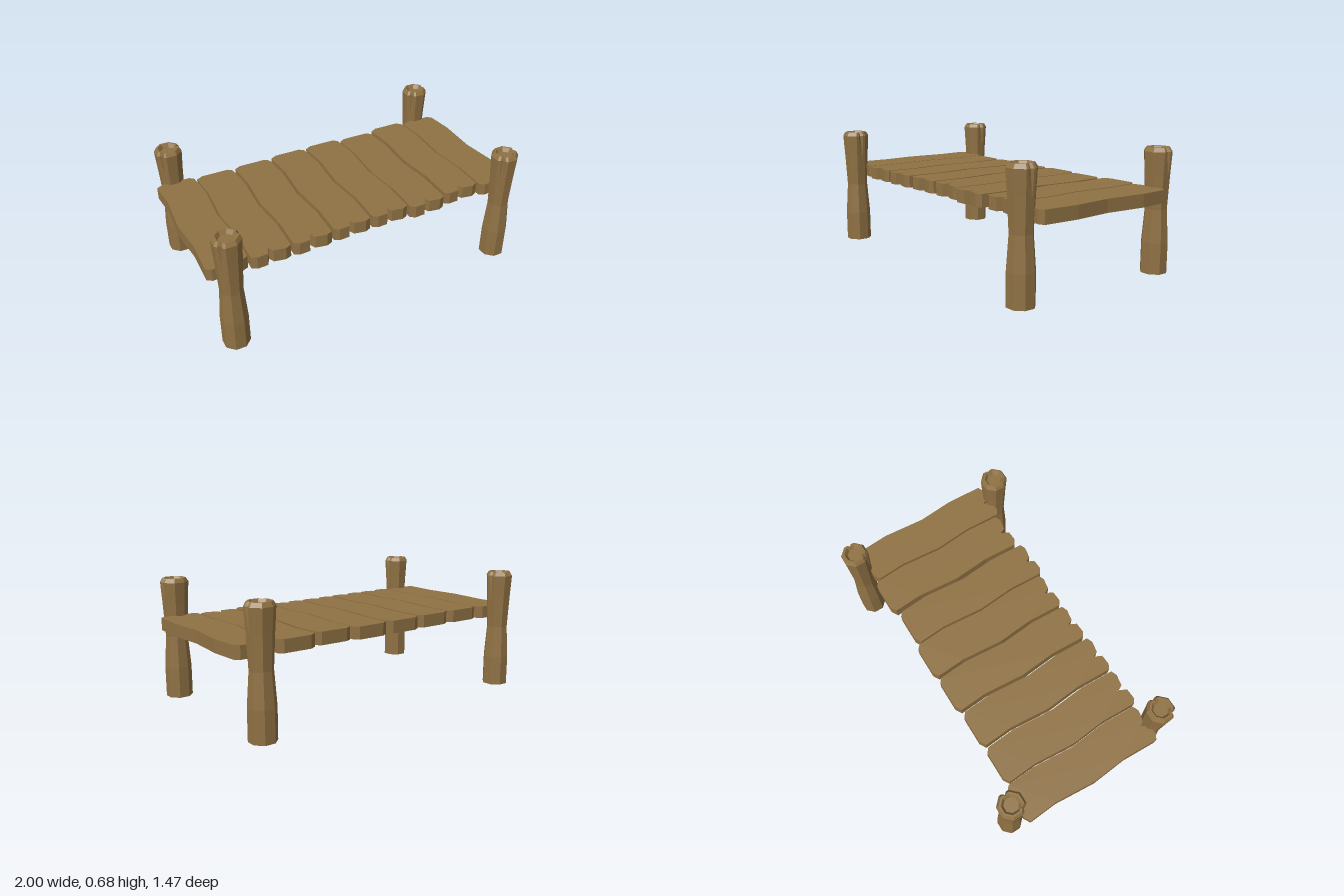
import * as THREE from 'three';

const wood = new THREE.MeshStandardMaterial({ color: 0x907244 });
wood.name = 'wood';

// Octagonal post with a waist, a hollowed top and two wedge-shaped cracks
function postGeometry() {
  const profile = [
    [0, 0], [0.073, 0], [0.073, 0.17], [0.06, 0.35], [0.069, 0.53], [0.077, 0.655],
    [0.064, 0.677], [0.053, 0.677], [0.04, 0.655], [0, 0.655],
  ].map(([r, y]) => new THREE.Vector2(r, y));
  const side = Math.PI / 4;
  const phase = THREE.MathUtils.degToRad(15); // middle of the first flat side
  const lathe = new THREE.LatheGeometry(profile, 32, phase);
  const pos = lathe.attributes.position;
  const rings = profile.length;
  for (let i = 0; i < pos.count; i++) {
    const segment = Math.floor(i / rings) % 32;
    const ring = i % rings;
    // Flatten the circle to eight sides
    const turn = (segment * Math.PI) / 16;
    const local = turn - Math.round(turn / side) * side;
    let k = Math.cos(side / 2) / Math.cos(local);
    // Cracks in the middle of two sides, opening towards the top
    if ((segment === 8 || segment === 28) && (ring === 5 || ring === 6)) k *= 0.84;
    pos.setX(i, pos.getX(i) * k);
    pos.setZ(i, pos.getZ(i) * k);
  }
  const geometry = lathe.toNonIndexed();
  geometry.computeVertexNormals();
  return geometry;
}

// Wavy plank with clipped corners and a split in its front end
function plankGeometry() {
  const edge = [[0, 0], [0.053, 0.155], [0.096, 0.39], [0.166, 0.583], [0.209, 0.778]];
  const acrossX = 0.211, acrossZ = -0.056;
  const outline = [
    ...edge,
    [0.24, 0.788], [0.296, 0.77], [0.305, 0.722], [0.328, 0.749], [0.392, 0.744],
    ...edge.map(([x, z]) => [x + acrossX, z + acrossZ]).reverse(),
    [0.182, -0.07], [0.03, -0.03],
  ];
  const shape = new THREE.Shape(outline.map(([x, z]) => new THREE.Vector2(x, z)));
  const geometry = new THREE.ExtrudeGeometry(shape, { depth: 0.07, bevelEnabled: false });
  return geometry.rotateX(Math.PI / 2).translate(0, 0.47, 0);
}

export function createModel() {
  const model = new THREE.Group();
  model.name = 'dock';

  // Deck of staggered planks
  const deck = new THREE.Group();
  deck.name = 'deck';
  const plank = plankGeometry();
  [-0.15, -0.193, -0.257, -0.33, -0.396, -0.438, -0.524, -0.565].forEach((z, i) => {
    const mesh = new THREE.Mesh(plank, wood);
    mesh.name = `plank${i + 1}`;
    mesh.position.set(-1 + 0.2257 * i, 0, z);
    deck.add(mesh);
  });
  model.add(deck);

  // Corner posts
  const post = postGeometry();
  const corners = {
    backRightPost: [-0.915, -0.233],
    frontRightPost: [-0.677, 0.656],
    backLeftPost: [0.671, -0.66],
    frontLeftPost: [0.909, 0.231],
  };
  for (const [name, [x, z]] of Object.entries(corners)) {
    const mesh = new THREE.Mesh(post, wood);
    mesh.name = name;
    mesh.position.set(x, 0, z);
    model.add(mesh);
  }
  return model;
}
